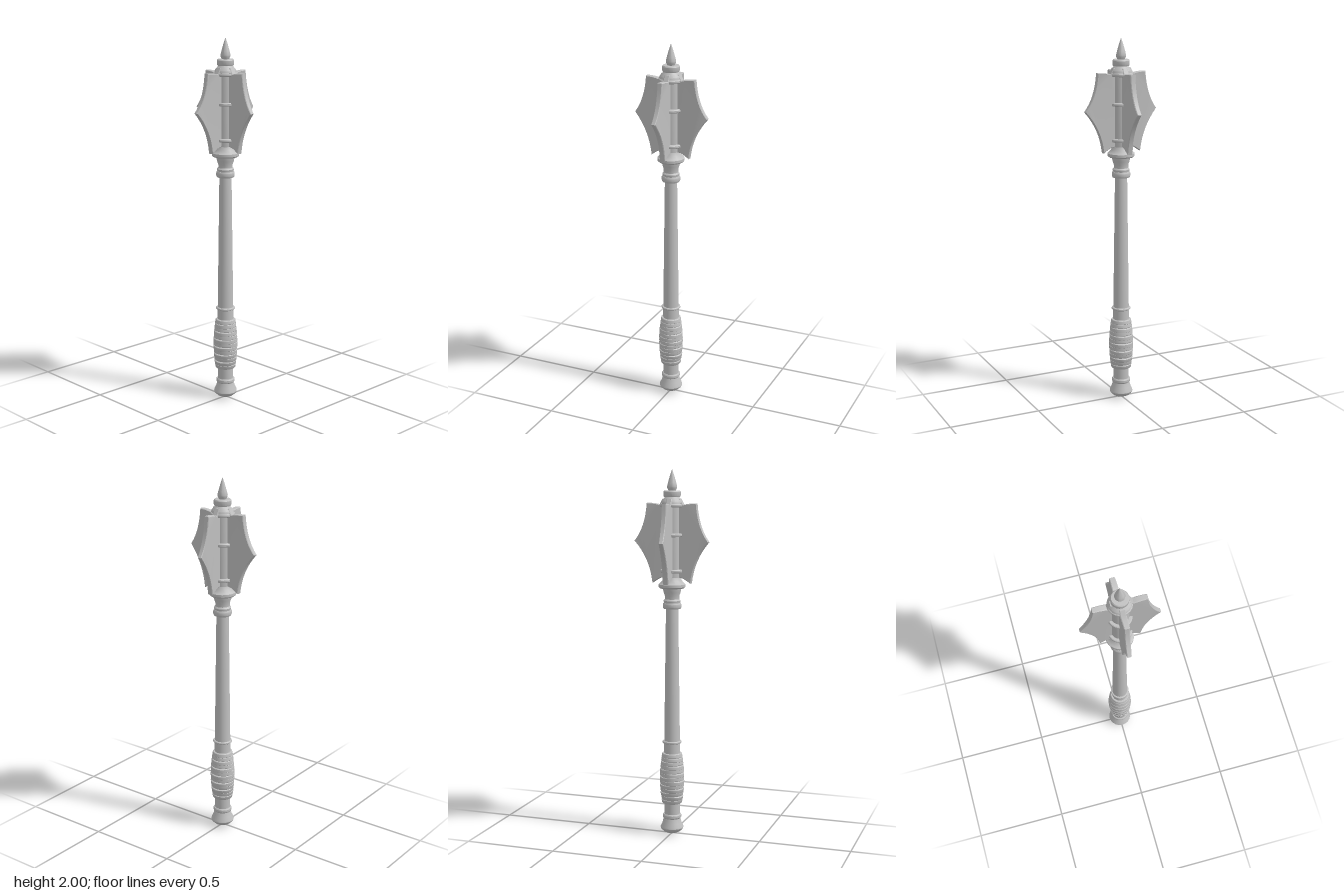
import * as THREE from 'three';
import { toCreasedNormals } from 'three/addons/utils/BufferGeometryUtils.js';

const steel = new THREE.MeshStandardMaterial({ color: 0xc0c0c0 });
steel.name = 'steel grey';

export function createModel() {
  const mace = new THREE.Group();
  mace.name = 'flangedMace';

  const add = (name, geometry, crease = 0.5) => {
    const mesh = new THREE.Mesh(toCreasedNormals(geometry, crease), steel);
    mesh.name = name;
    mace.add(mesh);
    return mesh;
  };
  // Turned part from [radius, height] pairs, bottom to top
  const turn = (name, profile, sides = 20) =>
    add(name, new THREE.LatheGeometry(profile.map(([r, y]) => new THREE.Vector2(r, y)), sides));
  // Rounded band around the axis
  const band = (name, r, y, h) => turn(name, [
    [r - 0.02, y - h / 2], [r - 0.004, y - h / 2], [r, y - h / 4],
    [r, y + h / 4], [r - 0.004, y + h / 2], [r - 0.02, y + h / 2]]);

  // Handle
  turn('pommel', [[0, 0], [0.025, 0.003], [0.046, 0.013], [0.06, 0.026], [0.064, 0.035],
    [0.062, 0.043], [0.053, 0.062], [0.046, 0.088], [0.03, 0.09]]);
  band('pommelRing', 0.051, 0.1, 0.025);
  turn('shaft', [[0.043, 0.085], [0.044, 0.5], [0.043, 0.53], [0.033, 1.27]]);
  band('gripRing', 0.052, 0.52, 0.014);

  // Wrapped grip: overlapping turns, each slightly tilted
  const wraps = 13, gripBottom = 0.175, gripTop = 0.457, step = (gripTop - gripBottom) / wraps;
  const gripRadius = (t) => 0.051 + 0.015 * Math.pow(Math.sin(Math.PI * Math.min(1, t * 0.9 + 0.06)), 0.9);
  for (let i = 0; i < wraps; i++) {
    const r0 = gripRadius(i / wraps), r1 = gripRadius((i + 1) / wraps);
    const wrap = turn('gripWrap', [[0.035, 0], [r0 - 0.001, 0], [r0 + 0.001, 0.003],
      [r1 + 0.001, step - 0.002], [r1 - 0.002, step + 0.001], [0.035, step + 0.001]]);
    wrap.position.y = gripBottom + i * step;
    wrap.rotation.z = i > 0 && i < wraps - 1 ? 0.04 * (i % 2 ? 1 : -1) : 0;
  }

  // Neck and collar under the head
  band('lowerNeckRing', 0.05, 1.272, 0.032);
  turn('neck', [[0.03, 1.285], [0.044, 1.288], [0.046, 1.3], [0.039, 1.308], [0.039, 1.325],
    [0.046, 1.345], [0.05, 1.368], [0.03, 1.37]]);
  turn('headFlange', [[0.04, 1.365], [0.066, 1.367], [0.073, 1.374], [0.073, 1.388],
    [0.066, 1.393], [0.053, 1.408], [0.047, 1.425], [0.03, 1.425]]);

  // Head core with bands
  turn('headCore', [[0.047, 1.4], [0.047, 1.83], [0.03, 1.835]]);
  for (const y of [1.46, 1.652, 1.808]) band('headBand', 0.064, y, 0.018);
  turn('headShoulder', [[0.045, 1.815], [0.06, 1.818], [0.057, 1.83], [0.045, 1.843], [0.036, 1.855]]);
  turn('topCollar', [[0.03, 1.852], [0.043, 1.853], [0.046, 1.859], [0.046, 1.88], [0.042, 1.886], [0, 1.887]]);
  turn('topSpike', [[0.019, 1.885], [0.026, 1.9], [0.027, 1.908], [0.022, 1.928], [0.012, 1.963], [0, 2]]);

  // Four concave-edged blades whose outer edges bend a little sideways
  const outline = new THREE.Shape();
  outline.moveTo(0.03, 1.43);
  outline.lineTo(0.062, 1.425);
  outline.quadraticCurveTo(0.085, 1.415, 0.106, 1.398);
  outline.quadraticCurveTo(0.118, 1.52, 0.204, 1.618);
  outline.quadraticCurveTo(0.146, 1.69, 0.136, 1.817);
  outline.quadraticCurveTo(0.09, 1.817, 0.065, 1.808);
  outline.lineTo(0.048, 1.84);
  outline.lineTo(0.03, 1.84);
  const blade = (angle, lean) => {
    const geometry = new THREE.ExtrudeGeometry(outline, {
      depth: 0.024, curveSegments: 8, bevelEnabled: true,
      bevelThickness: 0.004, bevelSize: 0.003, bevelOffset: 0, bevelSegments: 1 });
    geometry.translate(0, 0, -0.012);
    const p = geometry.attributes.position;
    for (let i = 0; i < p.count; i++) {
      const t = Math.max(0, (p.getX(i) - 0.09) / 0.115);
      p.setZ(i, p.getZ(i) * (1 - 0.25 * t) + lean * 0.007 * t * t);
    }
    add('blade', geometry, 0.4).rotation.y = angle;
  };
  blade(0, -1);
  blade(Math.PI, 1);
  blade(Math.PI / 2, -1);
  blade(-Math.PI / 2, 1);

  return mace;
}
